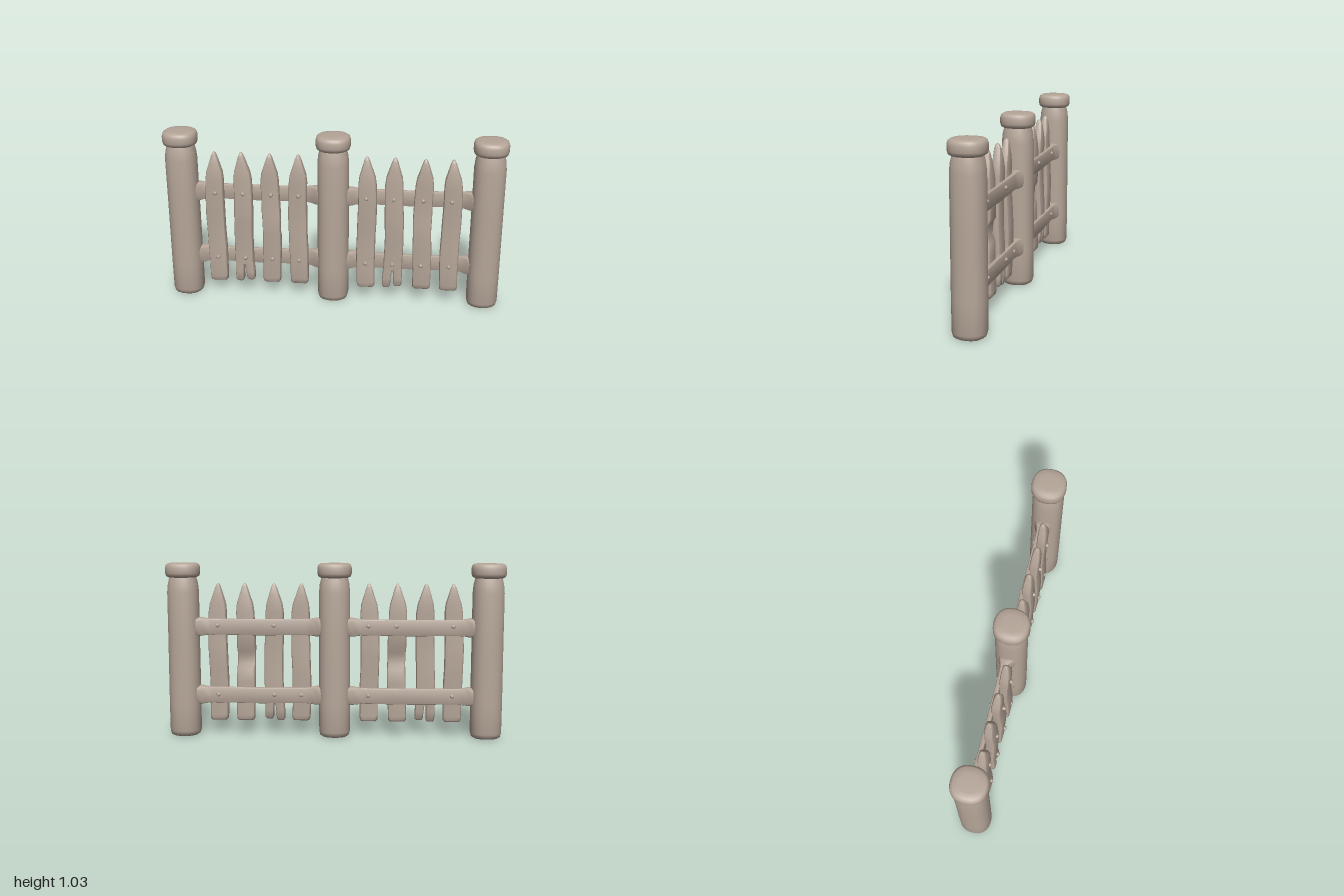
import * as THREE from 'three';
import { toCreasedNormals } from 'three/addons/utils/BufferGeometryUtils.js';

// Ring of a rounded rectangle, half sizes w and d, counter-clockwise from above
function ring(w, d) {
  const r = Math.min(w, d) * 0.55, pts = [];
  for (let c = 0; c < 4; c++) {
    const sx = c === 0 || c === 3 ? 1 : -1, sz = c < 2 ? -1 : 1;
    for (let k = 0; k < 3; k++) {
      const a = (c + k / 2) * Math.PI / 2;
      pts.push([sx * (w - r) + r * Math.cos(a), sz * (d - r) - r * Math.sin(a)]);
    }
  }
  return pts;
}

// Closed solid through rounded-rectangle sections [y, x, z, halfWidth, halfDepth]
function loft(sections, crease = 0.75) {
  const n = 12, pos = [], idx = [];
  for (const [y, x, z, w, d] of sections)
    for (const [px, pz] of ring(w, d)) pos.push(x + px, y, z + pz);
  const last = sections.length - 1, bottom = pos.length / 3, top = bottom + 1;
  for (const s of [sections[0], sections[last]]) pos.push(s[1], s[0], s[2]);
  for (let i = 0; i < n; i++) {
    const j = (i + 1) % n;
    for (let k = 0; k < last; k++) {
      const a = k * n + i, b = k * n + j;
      idx.push(a, b, b + n, a, b + n, a + n);
    }
    idx.push(bottom, j, i, top, last * n + i, last * n + j);
  }
  const g = new THREE.BufferGeometry();
  g.setAttribute('position', new THREE.Float32BufferAttribute(pos, 3));
  g.setIndex(idx);
  return toCreasedNormals(g, crease);
}

// Lathe whose round plan is pushed slightly towards a square
function squaredLathe(profile) {
  const g = new THREE.LatheGeometry(profile.map(([r, y]) => new THREE.Vector2(r, y)), 32);
  const p = g.attributes.position;
  for (let i = 0; i < p.count; i++) {
    const x = p.getX(i), z = p.getZ(i), r = Math.hypot(x, z);
    if (r < 1e-5) continue;
    const e = 2.35, k = r / Math.pow(Math.abs(x) ** e + Math.abs(z) ** e, 1 / e);
    p.setX(i, x * k);
    p.setZ(i, z * k);
  }
  return toCreasedNormals(g, 0.8);
}

export function createModel() {
  const fence = new THREE.Group();
  fence.name = 'picketFence';
  const wood = new THREE.MeshStandardMaterial({ color: 0xb5a598 });
  wood.name = 'weatheredWood';
  const add = (geometry, name, parent = fence) => {
    const mesh = new THREE.Mesh(geometry, wood);
    mesh.name = name;
    parent.add(mesh);
    return mesh;
  };

  // Posts with rounded caps
  const postGeo = squaredLathe([[0, 0], [0.074, 0], [0.086, 0.008], [0.092, 0.03], [0.093, 0.2],
    [0.092, 0.6], [0.092, 0.86], [0.087, 0.91], [0.077, 0.95], [0, 0.955]]);
  const capGeo = squaredLathe([[0, 0.947], [0.082, 0.947], [0.096, 0.955], [0.101, 0.972], [0.101, 1.004],
    [0.096, 1.021], [0.084, 1.029], [0.05, 1.031], [0, 1.031]]);
  for (const x of [-0.9, 0, 0.9]) {
    const post = new THREE.Group();
    post.name = 'post';
    post.position.x = x;
    fence.add(post);
    add(postGeo, 'postShaft', post);
    add(capGeo, 'postCap', post);
  }

  // Rails, flared where they wrap the posts
  const end = [[0.378, 0.046, 0.042], [0.368, 0.054, 0.052], [0.345, 0.055, 0.036],
    [0.315, 0.051, 0.018], [0.28, 0.047, 0.013]];
  const sec = (s, [y, w, d]) => [s * y, 0, -0.018 + (d - 0.013) * 0.3, w, d];
  const railGeo = loft([...end.map(e => sec(-1, e)), [0, 0.003, -0.017, 0.048, 0.013],
    ...end.slice().reverse().map(e => sec(1, e))]);
  railGeo.rotateZ(-Math.PI / 2);
  for (const x of [-0.45, 0.45])
    for (const y of [0.245, 0.655]) add(railGeo, 'rail').position.set(x, y, 0);

  // Pickets: each has its own sway; some are split at the foot or dented behind
  function picket(seed, split, dent) {
    const sway = y => 0.004 * Math.sin(y * 9 + seed * 2.1);
    const lean = y => 0.015 + 0.004 * Math.sin(y * 11 + seed * 1.7);
    const s = (y, w, d, dx = 0, dz = 0) => [y, sway(y) + dx, lean(y) + dz, w, d];
    const upper = [s(0.32, 0.056, 0.029), s(0.4, 0.055, 0.029),
      dent ? s(0.43, 0.053, 0.021, 0, 0.009) : s(0.43, 0.055, 0.029),
      dent ? s(0.5, 0.054, 0.022, 0, 0.008) : s(0.5, 0.056, 0.029),
      s(0.53, 0.056, 0.029), s(0.64, 0.054, 0.028), s(0.74, 0.053, 0.028), s(0.79, 0.047, 0.027),
      s(0.84, 0.031, 0.024), s(0.885, 0.017, 0.018), s(0.903, 0.009, 0.012), s(0.91, 0.004, 0.005)];
    const foot = [s(0.088, 0.045, 0.02), s(0.096, 0.052, 0.027), s(0.12, 0.054, 0.029), s(0.21, 0.054, 0.029)];
    if (!split) return [loft([...foot, ...upper])];
    const prong = side => {
      const y0 = side > 0 ? 0.098 : 0.088;
      return loft([s(y0, 0.018, 0.018, side * 0.034), s(y0 + 0.012, 0.025, 0.026, side * 0.034),
        s(0.15, 0.026, 0.029, side * 0.033), s(0.215, 0.028, 0.029, side * 0.028)]);
    };
    return [loft([s(0.205, 0.056, 0.029), ...upper]), prong(-1), prong(1)];
  }

  // Bolt head, pointing along +z
  const boltGeo = new THREE.LatheGeometry([[0.012, 0], [0.012, 0.022], [0.008, 0.027], [0, 0.028]]
    .map(([r, y]) => new THREE.Vector2(r, y)), 10);
  boltGeo.rotateX(Math.PI / 2);

  // [x, split foot, dented back, bolt heads behind the lower rail, the upper rail]
  const pickets = [
    [-0.703, 0, 0, 1, 1], [-0.537, 1, 0, 0, 0], [-0.37, 0, 1, 0, 1], [-0.207, 0, 0, 1, 1],
    [0.2, 0, 0, 1, 0], [0.361, 1, 0, 1, 1], [0.531, 0, 1, 0, 0], [0.696, 0, 0, 1, 1],
  ];
  pickets.forEach(([x, split, dent, low, high], i) => {
    const group = new THREE.Group();
    group.name = 'picket';
    group.position.x = x;
    fence.add(group);
    picket(i, split, dent).forEach((g, k) => add(g, k ? 'splitProng' : 'picketBoard', group));
    [[0.248, low], [0.663, high]].forEach(([y, back]) => {
      const bx = i < 4 ? 0.006 : -0.003;
      add(boltGeo, 'frontBolt', group).position.set(bx, y, 0.03);
      if (back) {
        const bolt = add(boltGeo, 'backBolt', group);
        bolt.position.set(bx, y, -0.014);
        bolt.rotation.y = Math.PI;
      }
    });
  });
  return fence;
}
